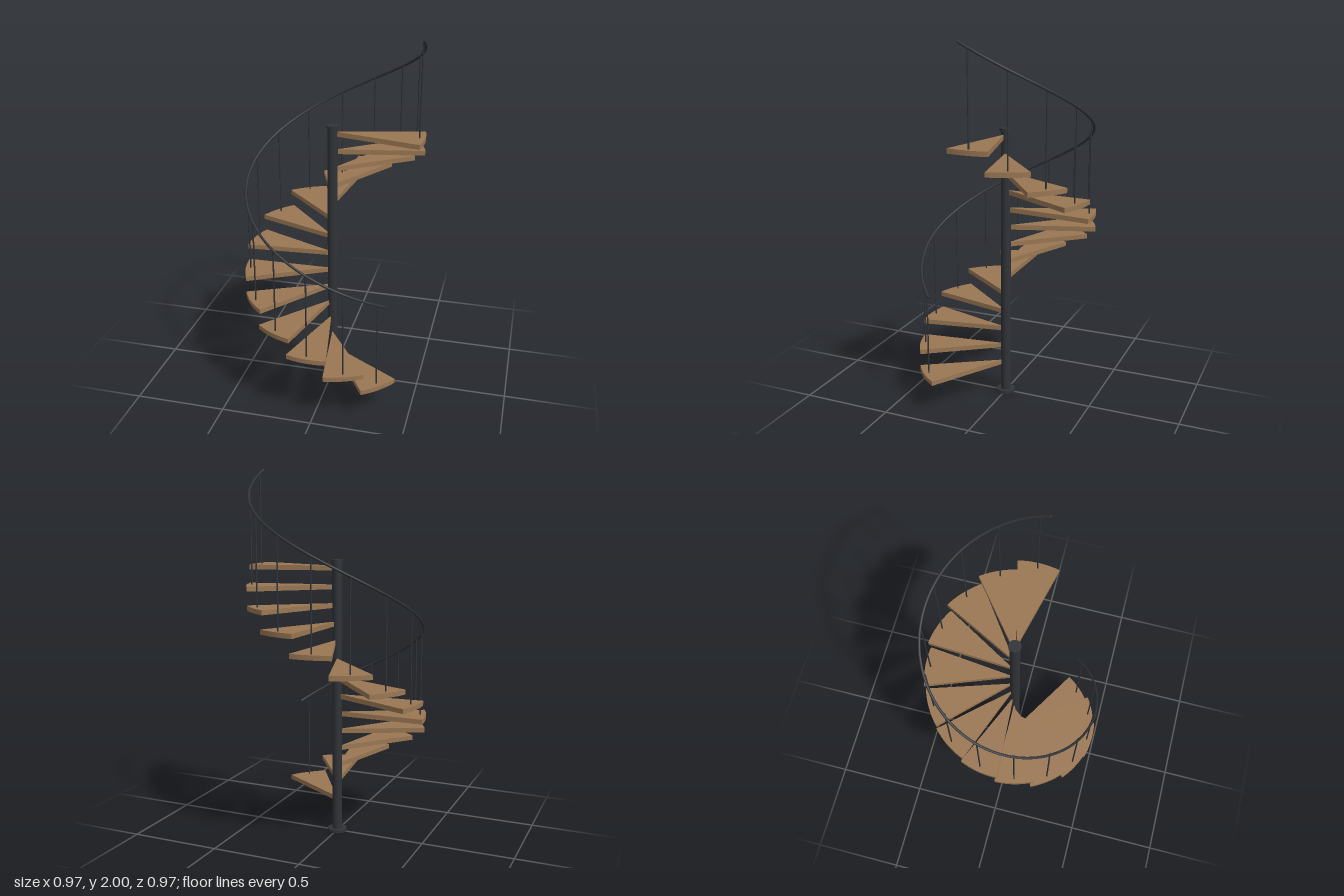
import * as THREE from 'three';

const STEPS = 14;
const RISE = 0.0997;                          // height between treads
const FIRST_Y = 0.178;                        // centre height of lowest tread
const FIRST_ANGLE = Math.PI / 4;              // measured from +x towards +z
const TURN = (Math.PI * 1.75) / (STEPS - 1);  // angle between treads
const TREAD = { radius: 0.485, inner: 0.018, half: THREE.MathUtils.degToRad(13.1), thick: 0.026 };
const RAIL = { radius: 0.463, tube: 0.0068, height: 0.495 };

const angleAt = (i) => FIRST_ANGLE + i * TURN;
const heightAt = (i) => FIRST_Y + i * RISE;

// Handrail centre line, running a quarter step past the end treads
class Helix extends THREE.Curve {
  getPoint(t, target = new THREE.Vector3()) {
    const i = -0.25 + t * (STEPS - 0.5);
    const a = angleAt(i);
    return target.set(RAIL.radius * Math.cos(a), heightAt(i) + RAIL.height, RAIL.radius * Math.sin(a));
  }
}

function treadGeometry() {
  const { radius, inner, half, thick } = TREAD;
  const shape = new THREE.Shape();
  shape.moveTo(inner * Math.cos(half), -inner * Math.sin(half));
  shape.absarc(0, 0, radius, -half, half, false);
  shape.lineTo(inner * Math.cos(half), inner * Math.sin(half));
  shape.closePath();
  const geo = new THREE.ExtrudeGeometry(shape, { depth: thick, bevelEnabled: false, curveSegments: 12 });
  return geo.rotateX(Math.PI / 2).translate(0, thick / 2, 0);
}

export function createModel() {
  const wood = new THREE.MeshStandardMaterial({ color: 0x9a7753 });
  wood.name = 'wood';
  const metal = new THREE.MeshStandardMaterial({ color: 0x303337 });
  metal.name = 'dark metal';

  const group = new THREE.Group();
  group.name = 'spiralStaircase';
  const add = (name, geo, mat, x = 0, y = 0, z = 0) => {
    const mesh = new THREE.Mesh(geo, mat);
    mesh.name = name;
    mesh.position.set(x, y, z);
    group.add(mesh);
    return mesh;
  };
  const post = (name, r, y0, y1, x = 0, z = 0, sides = 32) =>
    add(name, new THREE.CylinderGeometry(r, r, y1 - y0, sides), metal, x, (y0 + y1) / 2, z);

  // Central column
  post('basePlate', 0.053, 0, 0.015);
  post('column', 0.027, 0.01, 1.51);
  post('columnCap', 0.033, 1.505, 1.52);

  // Treads, each with one baluster just inside the rail
  const treadGeo = treadGeometry();
  for (let i = 0; i < STEPS; i++) {
    const a = angleAt(i), y = heightAt(i);
    add('tread' + (i + 1), treadGeo, wood, 0, y, 0).rotation.y = -a;
    post('baluster' + (i + 1), 0.004, y, y + RAIL.height, 0.456 * Math.cos(a), 0.456 * Math.sin(a), 10);
  }

  // Handrail with flat ends
  const helix = new Helix();
  add('handrail', new THREE.TubeGeometry(helix, 160, RAIL.tube, 12, false), metal);
  for (const t of [0, 1]) {
    const p = helix.getPoint(t);
    const end = add('handrailEnd', new THREE.CircleGeometry(RAIL.tube, 12), metal, p.x, p.y, p.z);
    const out = helix.getTangent(t).multiplyScalar(t ? 1 : -1);
    end.quaternion.setFromUnitVectors(new THREE.Vector3(0, 0, 1), out);
  }
  return group;
}
